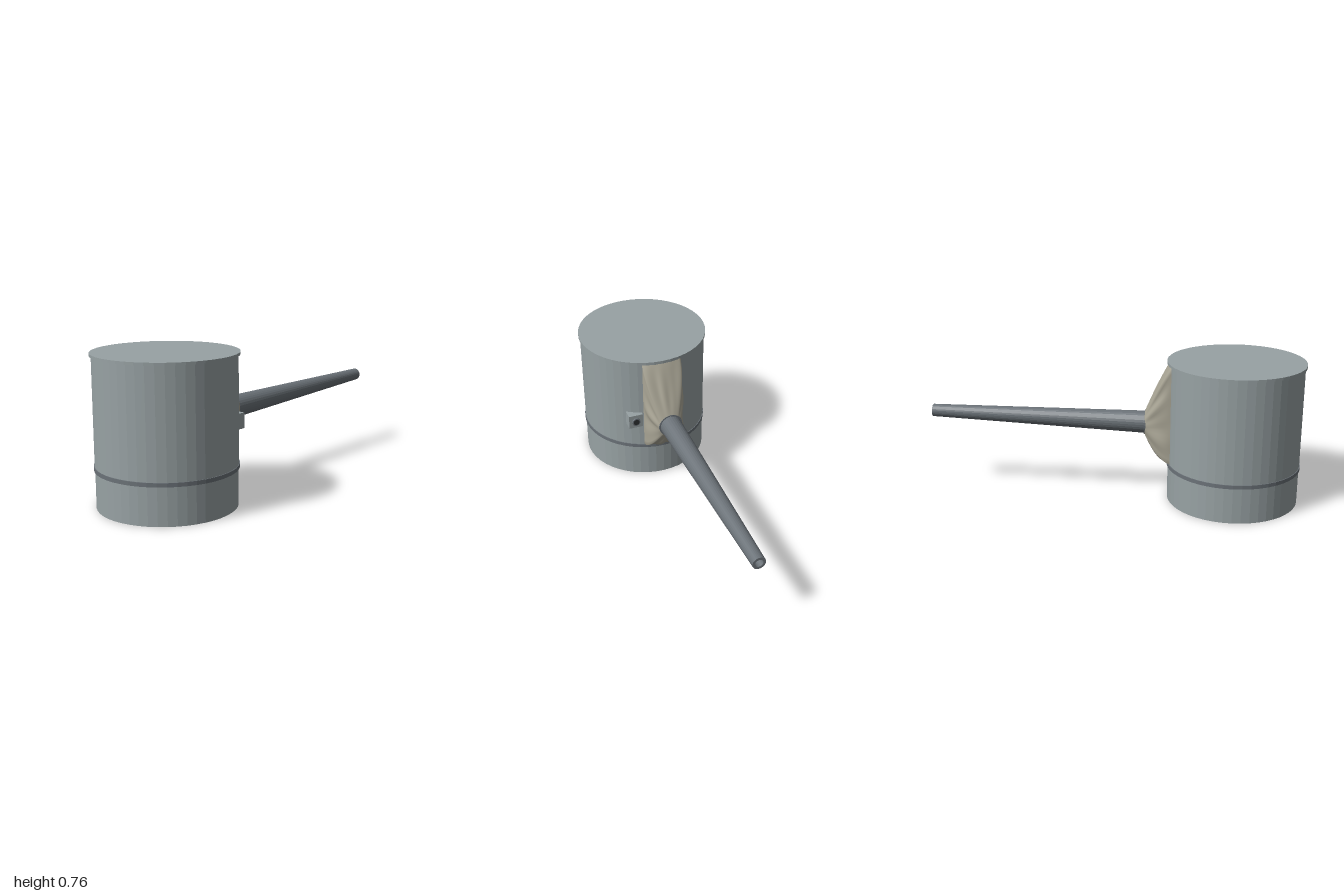
import * as THREE from 'three';

const CZ = 0.64;   // turret axis
const R = 0.35;    // turret radius
const mat = (color, extra = {}) =>
  new THREE.MeshStandardMaterial({ color, flatShading: true, ...extra });

function add(group, name, geometry, material, x = 0, y = 0, z = 0) {
  const mesh = new THREE.Mesh(geometry, material);
  mesh.name = name;
  mesh.position.set(x, y, z);
  group.add(mesh);
  return mesh;
}

// Cloth cover: a rectangle wrapped on the turret wall, lofted to a ring round the barrel
function coverGeometry() {
  const side = 20, n = side * 4, rows = 14;
  const cy = 0.41, ringR = 0.062, ringZ = 0.165;
  const corners = [[0.11, 0.212], [0.11, 0.744], [-0.11, 0.744], [-0.11, 0.212]];
  const pos = [], index = [];
  for (let j = 0; j <= rows; j++) {
    const t = j / rows;
    for (let i = 0; i < n; i++) {
      const k = Math.floor(i / side), f = (i % side) / side;
      const a = corners[k], b = corners[(k + 1) % 4];
      const x0 = a[0] + (b[0] - a[0]) * f;
      const y0 = a[1] + (b[1] - a[1]) * f;
      const z0 = CZ - Math.sqrt(R * R - x0 * x0) + 0.003;
      const ang = -Math.PI / 4 + (i / n) * Math.PI * 2;
      // sides and bottom bulge, the top is stretched straight
      const tx = Math.pow(t, 1.9);
      const ty = y0 < cy ? Math.pow(t, 1.8) : Math.pow(t, 1.05);
      const fold = Math.sin(Math.PI * t) * (0.004 * Math.sin(9 * ang + 2 * t) + 0.003 * Math.sin(14 * ang + 1));
      const x = x0 + (ringR * Math.cos(ang) - x0) * tx + fold * Math.cos(ang);
      const y = y0 + (cy + ringR * Math.sin(ang) - y0) * ty + fold * Math.sin(ang);
      pos.push(x, y, z0 + (ringZ - z0) * t);
      if (j < rows) {
        const p = j * n + i, q = j * n + (i + 1) % n;
        index.push(p, p + n, q, q, p + n, q + n);
      }
    }
  }
  const g = new THREE.BufferGeometry();
  g.setAttribute('position', new THREE.Float32BufferAttribute(pos, 3));
  g.setIndex(index);
  g.computeVertexNormals();
  return g;
}

export function createModel() {
  const model = new THREE.Group();
  model.name = 'gunTurret';
  const steel = mat(0x98a2a4), dark = mat(0x6b7278), black = mat(0x2c2f31);
  const cloth = mat(0xaaa696, { flatShading: false, side: THREE.DoubleSide });

  // Turret drum, base, band and roof
  const disc = (name, r, y0, y1, m) =>
    add(model, name, new THREE.CylinderGeometry(r, r, y1 - y0, 48), m, 0, (y0 + y1) / 2, CZ);
  disc('turretBase', R - 0.001, 0, 0.2, steel);
  disc('turretDrum', R + 0.001, 0.2, 0.75, steel);
  disc('baseBand', 0.355, 0.19, 0.21, dark);
  disc('roof', 0.36, 0.746, 0.76, steel);

  add(model, 'clothCover', coverGeometry(), cloth);

  // Tapered hollow barrel with a clamping collar, slightly raised
  const gun = new THREE.Group();
  gun.name = 'gun';
  gun.position.set(0, 0.41, 0.17);
  gun.rotation.x = 0.019;
  model.add(gun);
  const profile = [[0, -0.11], [0.061, -0.11], [0.06, 0], [0.034, 1.169], [0.021, 1.169], [0.021, 1.0], [0, 1.0]]
    .map(p => new THREE.Vector2(...p));
  add(gun, 'barrel', new THREE.LatheGeometry(profile, 28).rotateX(-Math.PI / 2), dark);
  add(gun, 'boreEnd', new THREE.CircleGeometry(0.021, 28).rotateY(Math.PI), black, 0, 0, -0.99);
  add(gun, 'collar', new THREE.CylinderGeometry(0.067, 0.067, 0.012, 28).rotateX(Math.PI / 2), dark);

  // Sight box beside the gun with its round port
  add(model, 'sightBox', new THREE.BoxGeometry(0.08, 0.08, 0.08), steel, 0.16, 0.39, 0.333);
  add(model, 'sightRim', new THREE.CylinderGeometry(0.023, 0.023, 0.02, 20).rotateX(Math.PI / 2), dark, 0.16, 0.39, 0.294);
  add(model, 'sightGlass', new THREE.CircleGeometry(0.017, 20).rotateY(Math.PI), black, 0.16, 0.39, 0.2835);

  return model;
}
